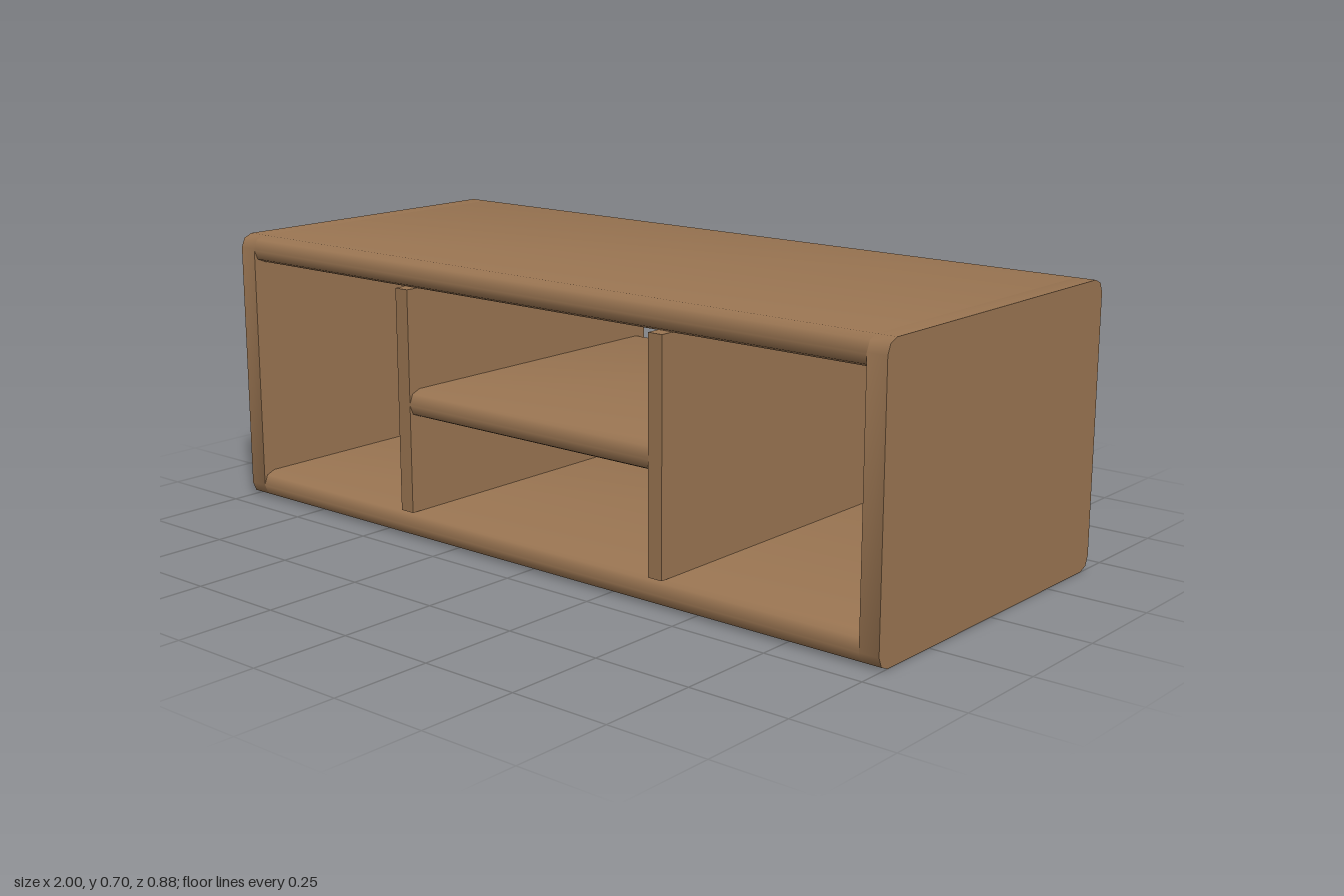
import * as THREE from 'three';
import { toCreasedNormals } from 'three/addons/utils/BufferGeometryUtils.js';

const DEPTH = 0.88, HEIGHT = 0.7, BOARD = 0.07, SIDE = 0.05, DIVIDER = 0.04, RADIUS = 0.033;

// Panel with a rounded z/y outline, extruded along x and centred on its origin
function roundedPanel(width, height, depth) {
  const points = [];
  for (let corner = 0; corner < 4; corner++) {
    const cx = (corner === 0 || corner === 3 ? 1 : -1) * (depth / 2 - RADIUS);
    const cy = (corner < 2 ? 1 : -1) * (height / 2 - RADIUS);
    for (let i = 0; i <= 2; i++) {
      const a = (corner + i / 2) * Math.PI / 2;
      points.push(new THREE.Vector2(cx + RADIUS * Math.cos(a), cy + RADIUS * Math.sin(a)));
    }
  }
  const geometry = new THREE.ExtrudeGeometry(new THREE.Shape(points), { depth: width, bevelEnabled: false });
  geometry.translate(0, 0, -width / 2);
  geometry.rotateY(Math.PI / 2);
  return toCreasedNormals(geometry, 0.9);
}

export function createModel() {
  const model = new THREE.Group();
  model.name = 'openShelfUnit';
  const wood = new THREE.MeshStandardMaterial({ color: 0x9a7552 });
  wood.name = 'wood';

  const add = (name, geometry, x, y) => {
    const mesh = new THREE.Mesh(geometry, wood);
    mesh.name = name;
    mesh.position.set(x, y, 0);
    model.add(mesh);
  };

  // Top and bottom boards between the sides
  const board = roundedPanel(2 - 2 * SIDE, BOARD, DEPTH);
  add('topBoard', board, 0, HEIGHT - BOARD / 2);
  add('bottomBoard', board, 0, BOARD / 2);

  // Side panels and upright dividers, mirrored
  const side = roundedPanel(SIDE, HEIGHT, DEPTH);
  const divider = new THREE.BoxGeometry(DIVIDER, HEIGHT - 2 * BOARD, DEPTH);
  for (const [label, s] of [['left', 1], ['right', -1]]) {
    add(label + 'SidePanel', side, s * (1 - SIDE / 2), HEIGHT / 2);
    add(label + 'Divider', divider, s * 0.4, HEIGHT / 2);
  }

  // Middle shelf between the dividers
  add('middleShelf', roundedPanel(0.76, BOARD, DEPTH), 0, 0.345);

  return model;
}
